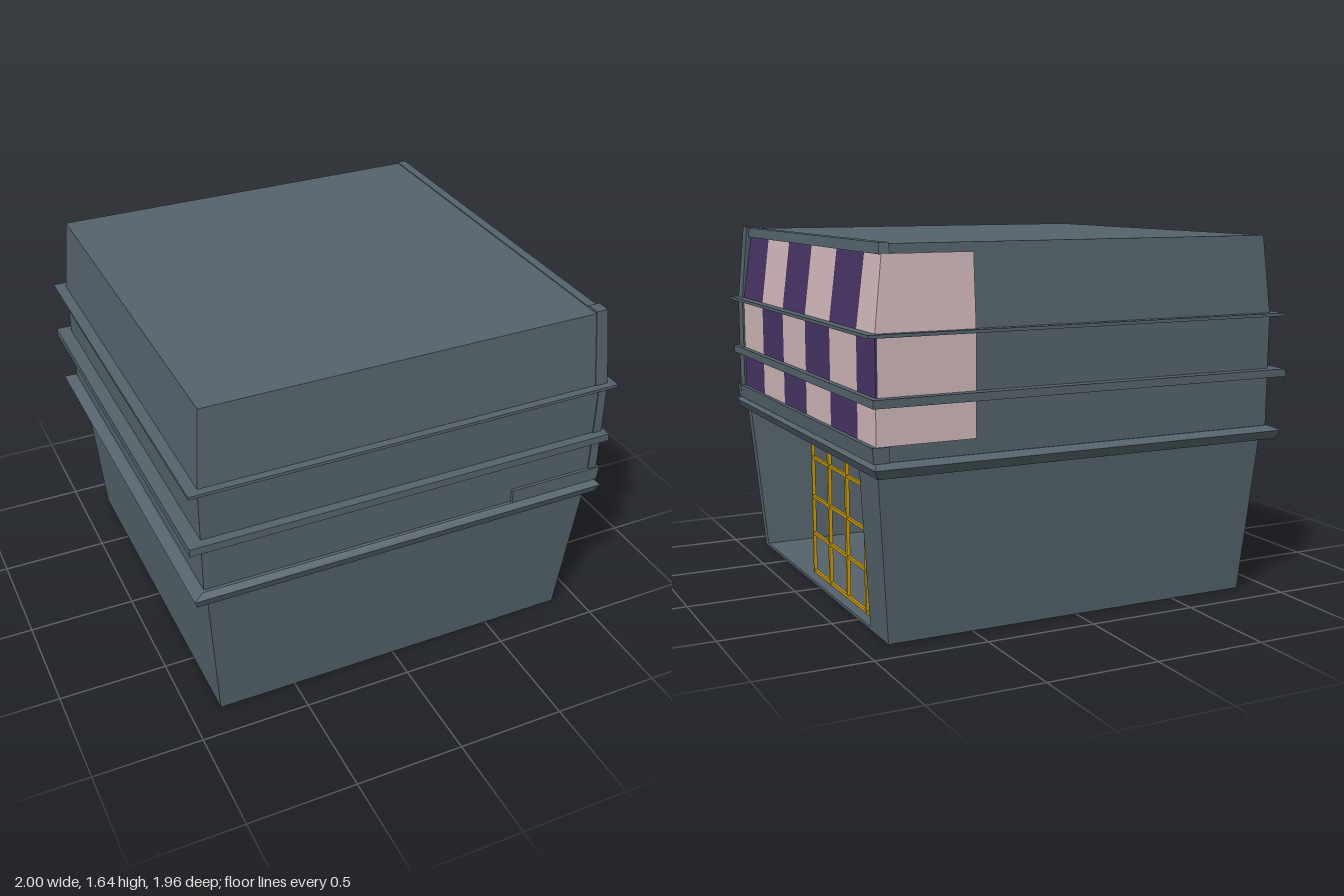
import * as THREE from 'three';

const mat = (name, color) => {
  const m = new THREE.MeshStandardMaterial({ color });
  m.name = name;
  return m;
};

export function createModel() {
  const root = new THREE.Group();
  root.name = 'building';
  const slate = mat('slate', 0x55636c);
  const pink = mat('palePink', 0xd2b8bb);
  const purple = mat('purple', 0x483566);
  const amber = mat('amber', 0xcc9c08);

  const add = (name, geo, m, parent = root) => {
    const mesh = new THREE.Mesh(geo, m);
    mesh.name = name;
    parent.add(mesh);
    return mesh;
  };
  const group = (name) => {
    const g = new THREE.Group();
    g.name = name;
    root.add(g);
    return g;
  };

  // Tapered block: rectangles [x0, x1, z0, z1] at heights y0 and y1
  const block = (name, y0, a, y1, b = a, m = slate, parent = root) => {
    const geo = new THREE.BoxGeometry(1, 1, 1);
    const p = geo.attributes.position;
    for (let i = 0; i < p.count; i++) {
      const up = p.getY(i) > 0, r = up ? b : a;
      p.setXYZ(i, p.getX(i) > 0 ? r[1] : r[0], up ? y1 : y0, p.getZ(i) > 0 ? r[3] : r[2]);
    }
    geo.computeVertexNormals();
    return add(name, geo, m, parent);
  };

  // Lower storey: thin shell, open on the +x side
  block('floor', 0, [-0.86, 0.88, -0.85, 0.85], 0.015, [-0.861, 0.881, -0.851, 0.851]);
  block('frontWall', 0.015, [-0.861, 0.881, 0.8, 0.851], 0.73, [-0.915, 0.94, 0.85, 0.91]);
  block('leftWall', 0.015, [-0.861, -0.8, -0.851, 0.8], 0.73, [-0.915, -0.84, -0.91, 0.85]);
  block('backWall', 0.015, [-0.8, 0.881, -0.851, -0.65], 0.73, [-0.84, 0.94, -0.91, -0.7]);
  block('innerPanel', 0.04, [-0.805, -0.792, -0.63, 0.77], 0.66, [-0.84, -0.82, -0.64, 0.78]);
  for (const [z0, z1] of [[0.77, 0.84], [-0.69, -0.62]]) {
    block('cornerBracket', 0.69, [0.8, 0.86, (z0 + z1) / 2, z0 > 0 ? z1 : z1 - 0.04],
      0.725, [0.8, 0.9, z0, z1]);
  }

  // Eave between storeys
  block('eaveLower', 0.715, [-0.975, 0.955, -0.95, 0.96], 0.755, [-0.99, 0.975, -0.97, 0.975]);
  block('eaveUpper', 0.755, [-0.99, 0.975, -0.97, 0.975], 0.775, [-0.945, 0.955, -0.935, 0.95]);

  // Upper storey and roof
  const mid = [-0.94, 0.945, -0.925, 0.94];
  const top = [-0.91, 0.9, -0.9, 0.91];
  block('upperWalls', 0.77, [-0.935, 0.94, -0.925, 0.935], 1.28, mid);
  block('roofBlock', 1.28, mid, 1.63, top);
  block('roofLip', 1.59, [0.88, 0.927, -0.915, 0.91], 1.635, [0.88, 0.922, -0.905, 0.91]);
  block('cornerPost', 0.84, [0.92, 0.962, 0.87, 0.944], 1.28, [0.92, 0.962, 0.87, 0.944]);
  block('cornerPostTop', 1.28, [0.9, 0.962, 0.87, 0.944], 1.64, [0.88, 0.935, 0.85, 0.913]);

  // Sill band under the chequered panels
  block('sillSide', 0.775, [0.9, 0.968, -0.94, 0.95], 0.84, [0.9, 0.973, -0.94, 0.95]);
  block('sillFront', 0.775, [0.52, 0.968, 0.9, 0.95], 0.84, [0.52, 0.975, 0.9, 0.95]);

  // Trim rings
  block('middleTrim', 1.0, [-1.0, 0.98, -0.975, 0.98], 1.035);
  block('upperTrim', 1.272, [-0.99, 0.995, -0.965, 0.975], 1.286);

  // Chequered side panel, wrapping the back corner in plain pink
  const panels = group('chequeredPanels');
  const slope = (y, low, high) => y <= 1.28 ? low : low + (high - low) * (y - 1.28) / 0.35;
  const cuts = [0.87, 0.55, 0.23, -0.09, -0.41, -0.73, -0.933];
  [[0.84, 1.02], [1.02, 1.28], [1.28, 1.592]].forEach(([y0, y1], row) => {
    for (let i = 0; i < 6; i++) {
      const rect = (y) => {
        const x = slope(y, 0.945, 0.9);
        const end = i === 5 ? slope(y, -0.933, -0.908) : cuts[i + 1];
        return [x, x + 0.009, end, cuts[i]];
      };
      block('sidePanel', y0, rect(y0), y1, rect(y1), (row + i) % 2 ? pink : purple, panels);
    }
    const back = (y) => {
      const z = slope(y, -0.925, -0.9);
      return [0.52, slope(y, 0.945, 0.9), z - 0.008, z];
    };
    block('backPanel', y0, back(y0), y1, back(y1), pink, panels);
  });

  // Amber lattice across part of the opening
  const lattice = group('lattice');
  [0.205, -0.02, -0.25, -0.485].forEach((z, i) => {
    const w = i ? 0.009 : 0.004;
    block('uprightBar', 0.016, [0.822, 0.838, z - w, z + w], 0.72, undefined, amber, lattice);
  });
  [0.024, 0.21, 0.39, 0.58].forEach((y) => {
    const end = -0.655 - y * 0.065;
    block('crossBar', y - 0.007, [0.824, 0.836, end, 0.208], y + 0.007, undefined, amber, lattice);
  });

  // Sagging cables under the ceiling
  const cables = group('cables');
  for (const [z1, sag] of [[-0.1, 0.21], [-0.06, 0.2], [0.02, 0.15], [0, 0.14]]) {
    const pts = [];
    for (let i = 0; i <= 8; i++) {
      const t = i / 8;
      pts.push(new THREE.Vector3(0.7 - 1.35 * t + sag * 0.5, 0.71 - sag * 4 * t * (1 - t),
        0.83 + (z1 - 0.83) * t));
    }
    add('cable', new THREE.TubeGeometry(new THREE.CatmullRomCurve3(pts), 24, 0.007, 6), slate, cables);
  }

  // Tyres in the front corner
  const tyres = group('tyres');
  const profile = [[0.045, -0.035], [0.075, -0.035], [0.085, -0.02], [0.085, 0.02],
    [0.075, 0.035], [0.045, 0.035], [0.045, -0.035]].map(([r, y]) => new THREE.Vector2(r, y));
  const tyreGeo = new THREE.LatheGeometry(profile, 20);
  for (const [x, y, z, tilt] of [[-0.3, 0.05, 0.7, 0], [-0.32, 0.13, 0.705, 0],
    [-0.15, 0.1, 0.6, Math.PI / 2], [-0.35, 0.055, 0.53, 0]]) {
    const t = add('tyre', tyreGeo, slate, tyres);
    t.position.set(x, y, z);
    t.rotation.z = tilt;
  }
  return root;
}
